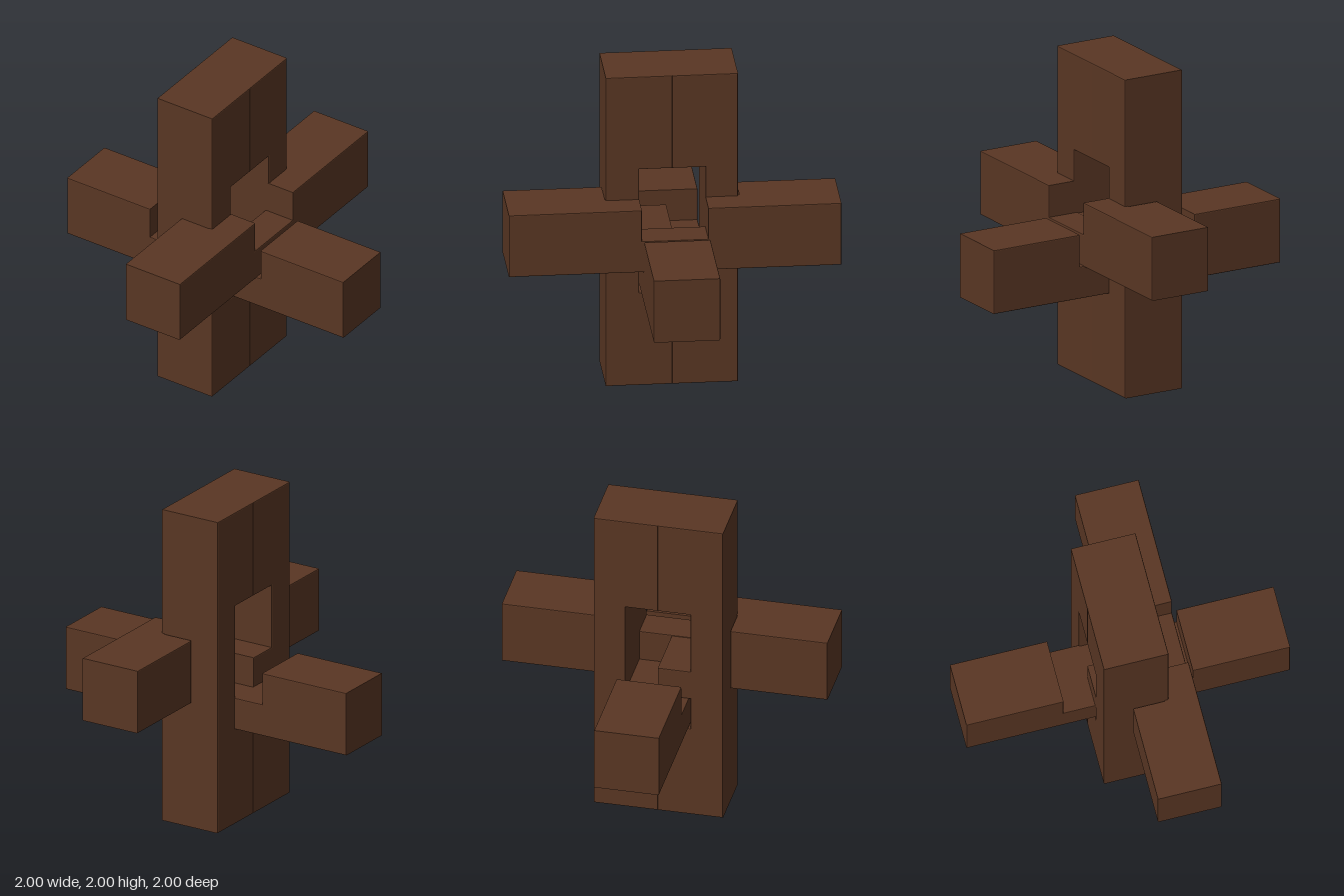
import * as THREE from 'three';

const BEVEL = 0.006;

// Extrudes an outline between two depths, with slightly softened edges
function slab(points, from, to) {
  const shape = new THREE.Shape(points.map(([u, v]) => new THREE.Vector2(u, v)));
  const geo = new THREE.ExtrudeGeometry(shape, {
    depth: to - from - 2 * BEVEL,
    bevelEnabled: true,
    bevelSize: BEVEL,
    bevelThickness: BEVEL,
    bevelOffset: -BEVEL,
    bevelSegments: 2,
  });
  geo.translate(0, 0, from + BEVEL);
  return geo;
}

// Outline given as (z, y), extruded along x
function sideSlab(points, fromX, toX) {
  return slab(points, -toX, -fromX).rotateY(-Math.PI / 2);
}

const rect = (u0, u1, v0, v1) => [[u0, v0], [u1, v0], [u1, v1], [u0, v1]];

export function createModel() {
  const model = new THREE.Group();
  model.name = 'interlockingBarPuzzle';
  const wood = new THREE.MeshStandardMaterial({ color: 0x593623 });
  wood.name = 'dark brown wood';

  function add(parent, name, geo) {
    const mesh = new THREE.Mesh(geo, wood);
    mesh.name = name;
    parent.add(mesh);
  }

  // Front upright: notched towards the middle, with a tongue inside the notch
  add(model, 'frontUpright', sideSlab([
    [0, 0], [0.4, 0], [0.4, 2], [0, 2], [0, 1.4], [0.2, 1.4],
    [0.2, 1.0], [0, 1.0], [0, 0.81], [0.2, 0.81], [0.2, 0.6], [0, 0.6],
  ], -0.205, 0.195));

  // Rear upright: one plain notch
  add(model, 'rearUpright', sideSlab([
    [0, 0], [0, 0.61], [-0.2, 0.61], [-0.2, 1.4], [0, 1.4], [0, 2],
    [-0.395, 2], [-0.395, 0],
  ], -0.205, 0.195));

  // Cross bar from left to right, notched on top
  add(model, 'crossBar', slab([
    [-1, 0.61], [1, 0.61], [1, 1.01], [0.4, 1.01], [0.4, 0.81],
    [-0.4, 0.81], [-0.4, 1.01], [-1, 1.01],
  ], -0.21, 0.19));

  // Front-to-back bar: two full ends joined by a thinner notched bridge
  const longBar = new THREE.Group();
  longBar.name = 'frontToBackBar';
  model.add(longBar);
  add(longBar, 'frontEnd', sideSlab(rect(0.405, 1, 0.805, 1.205), -0.025, 0.37));
  add(longBar, 'rearEnd', sideSlab(rect(-1, -0.405, 0.805, 1.205), -0.025, 0.37));
  add(longBar, 'bridge', sideSlab([
    [-0.45, 0.805], [0.45, 0.805], [0.45, 1.205], [0.2, 1.205], [0.2, 1.005],
    [-0.2, 1.005], [-0.2, 1.205], [-0.45, 1.205],
  ], 0.17, 0.37));

  return model;
}
